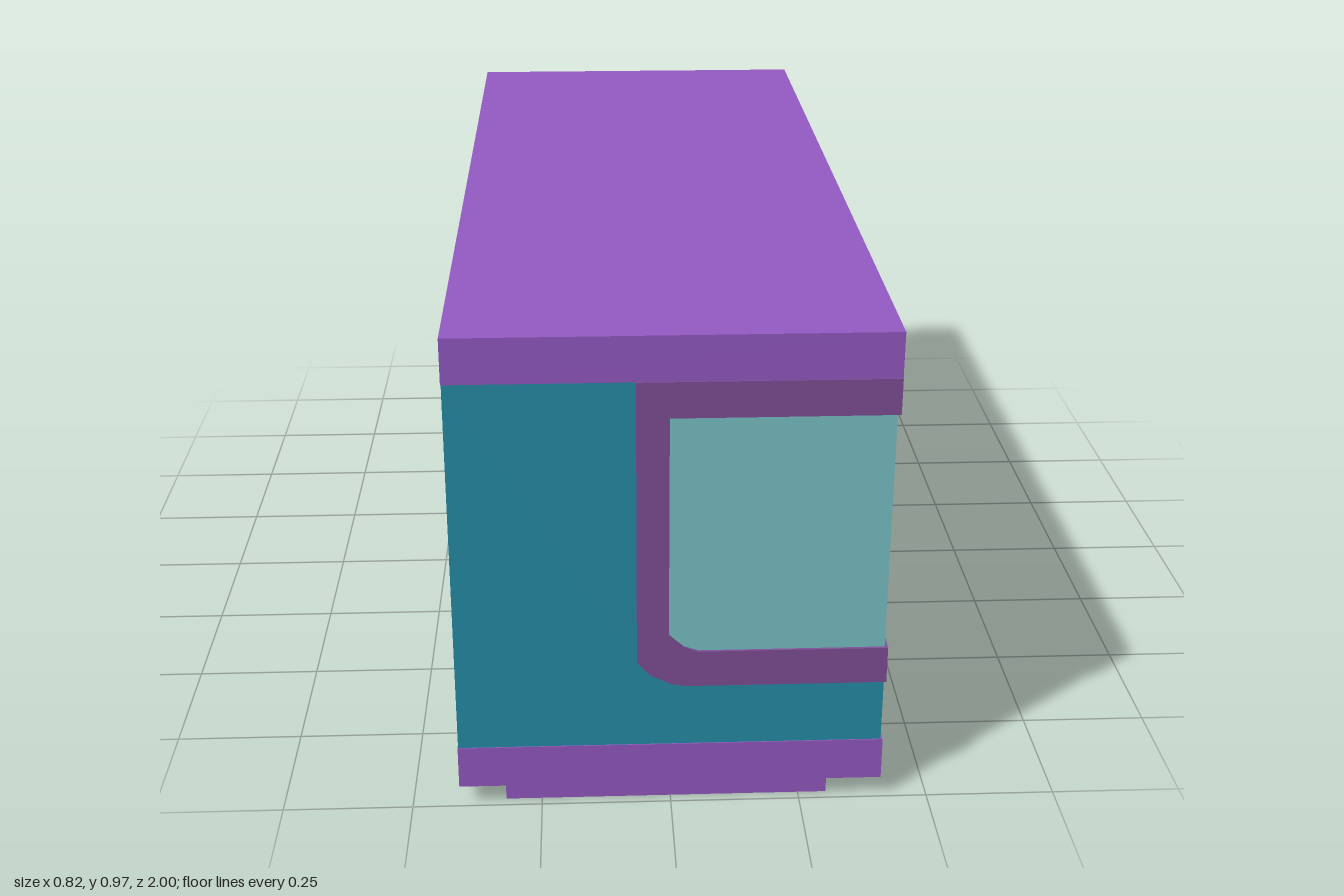
import * as THREE from 'three';

const mat = (color) => new THREE.MeshStandardMaterial({ color });

export function createModel() {
  const group = new THREE.Group();
  const purple = mat(0x965bc6), plum = mat(0x82509a), teal = mat(0x2790aa), glass = mat(0x7ac5cb);

  const add = (name, geometry, material) => {
    const mesh = new THREE.Mesh(geometry, material);
    mesh.name = name;
    group.add(mesh);
    return mesh;
  };
  const box = (name, x0, x1, y0, y1, halfZ, material) => {
    const mesh = add(name, new THREE.BoxGeometry(x1 - x0, y1 - y0, halfZ * 2), material);
    mesh.position.set((x0 + x1) / 2, (y0 + y1) / 2, 0);
  };
  // Cross-section in x/y swept along the whole length
  const sweep = (name, points, halfZ, material) => {
    const shape = new THREE.Shape(points.map(([x, y]) => new THREE.Vector2(x, y)));
    const geometry = new THREE.ExtrudeGeometry(shape, { depth: halfZ * 2, bevelEnabled: false });
    add(name, geometry.translate(0, 0, -halfZ), material);
  };

  // Plinth and the two slabs
  box('plinth', -0.32, 0.305, 0, 0.05, 0.98, purple);
  box('bottomSlab', -0.409, 0.409, 0.043, 0.13, 0.998, purple);
  box('topSlab', -0.409, 0.409, 0.885, 0.973, 0.998, purple);

  // Edges of the window band, from top to bottom along its inner side
  const outer = [[-0.065, 0.885], [-0.065, 0.313], [-0.04, 0.285], [0, 0.265], [0.03, 0.26]];
  const inner = [[-0.005, 0.815], [-0.005, 0.37], [0.022, 0.345], [0.05, 0.335]];

  // C-shaped body, the band lining it and the glazed core
  sweep('body', [[-0.408, 0.885], [-0.408, 0.13], [0.405, 0.13], [0.405, 0.26],
    ...[...outer].reverse()], 0.996, teal);
  sweep('windowBand', [...outer, [0.409, 0.26], [0.409, 0.335],
    ...[...inner].reverse(), [0.409, 0.815], [0.409, 0.885]], 1, plum);
  sweep('glazedCore', [...inner, [0.36, 0.335], [0.36, 0.815]], 0.995, glass);

  // Two doors with deep rounded finger pulls beside the seam
  const roundedHole = (x0, x1, y0, y1, r) => {
    const p = new THREE.Path();
    p.moveTo(x0 + r, y0);
    p.lineTo(x1 - r, y0);
    p.quadraticCurveTo(x1, y0, x1, y0 + r);
    p.lineTo(x1, y1 - r);
    p.quadraticCurveTo(x1, y1, x1 - r, y1);
    p.lineTo(x0 + r, y1);
    p.quadraticCurveTo(x0, y1, x0, y1 - r);
    p.lineTo(x0, y0 + r);
    p.quadraticCurveTo(x0, y0, x0 + r, y0);
    return p;
  };
  for (const [name, side] of [['frontDoor', -1], ['backDoor', 1]]) {
    const at = (d) => d * side;
    const shape = new THREE.Shape([[0.003, 0.335], [0.995, 0.335], [0.995, 0.815], [0.003, 0.815]]
      .map(([d, y]) => new THREE.Vector2(at(d), y)));
    const [a, b] = [at(0.015), at(0.06)].sort((m, n) => m - n);
    shape.holes.push(roundedHole(a, b, 0.44, 0.71, 0.008));
    const geometry = new THREE.ExtrudeGeometry(shape, { depth: 0.043, bevelEnabled: false, curveSegments: 4 });
    // shape x runs towards -z, thickness towards +x
    add(name, geometry.rotateY(Math.PI / 2).translate(0.36, 0, 0), glass);
  }

  return group;
}
